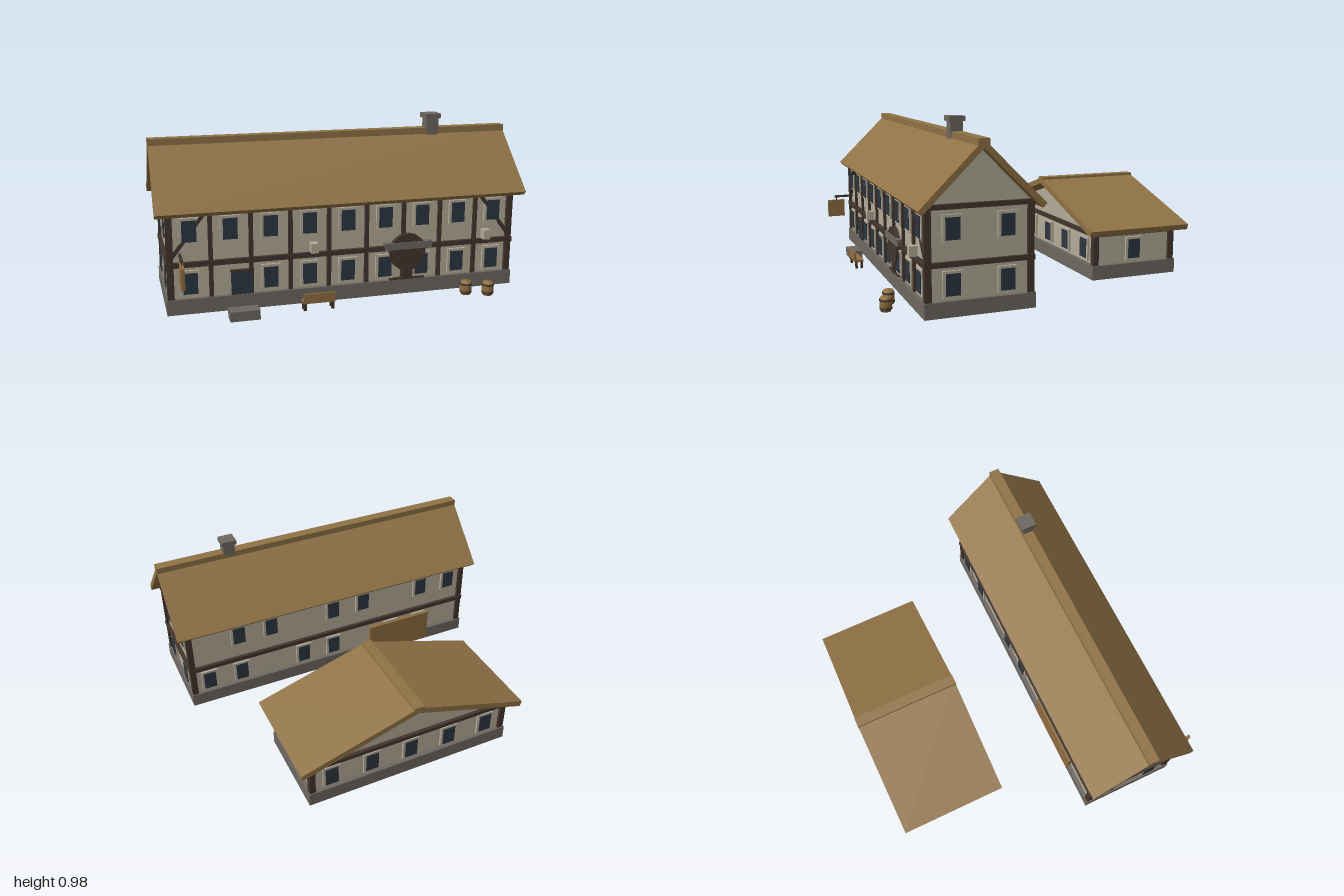
import * as THREE from 'three';

const mat = (name, color) => {
  const m = new THREE.MeshStandardMaterial({ color });
  m.name = name;
  return m;
};

export function createModel() {
  const plaster = mat('plaster', 0xb5ac99);
  const stone = mat('stone', 0x6d6760);
  const timber = mat('dark timber', 0x43352d);
  const roofing = mat('roof boards', 0x907245);
  const glass = mat('window glass', 0x2c3640);
  const wood = mat('light wood', 0x8f6d40);
  const floorMat = mat('floor', 0x4a443e);
  const root = new THREE.Group();

  const add = (parent, name, geo, m) => {
    const mesh = new THREE.Mesh(geo, m);
    mesh.name = name;
    parent.add(mesh);
    return mesh;
  };
  // Box given by its limits
  const box = (parent, name, m, x0, x1, y0, y1, z0, z1) => {
    const b = add(parent, name, new THREE.BoxGeometry(x1 - x0, y1 - y0, z1 - z0), m);
    b.position.set((x0 + x1) / 2, (y0 + y1) / 2, (z0 + z1) / 2);
    return b;
  };
  // Cross-section extruded along z, centred
  const prism = (parent, name, m, pts, length) => {
    const shape = new THREE.Shape(pts.map(p => new THREE.Vector2(...p)));
    const g = new THREE.ExtrudeGeometry(shape, { depth: length, bevelEnabled: false });
    g.translate(0, 0, -length / 2);
    return add(parent, name, g, m);
  };
  // Rectangular ring of four walls
  const ring = (parent, name, m, hx, hz, t, y0, y1) => {
    for (const s of [-1, 1]) {
      box(parent, name, m, -hx, hx, y0, y1, s * (hz - t / 2) - t / 2, s * (hz - t / 2) + t / 2);
      box(parent, name, m, s * (hx - t / 2) - t / 2, s * (hx - t / 2) + t / 2, y0, y1, -hz + t, hz - t);
    }
  };
  // Window facing +z before it is turned by ry
  const windowAt = (parent, x, y, z, ry = 0) => {
    const g = new THREE.Group();
    g.name = 'window';
    box(g, 'windowFrame', plaster, -0.051, 0.051, -0.068, 0.068, -0.01, 0.013);
    box(g, 'windowPane', glass, -0.037, 0.037, -0.055, 0.055, 0.012, 0.017);
    g.position.set(x, y, z);
    g.rotation.y = ry;
    parent.add(g);
  };

  // House shell: ridge along z, half span hx, half length hz
  const shell = (o) => {
    const g = new THREE.Group();
    g.name = o.name;
    const { hx, hz, wallTop, apex } = o;
    prism(g, 'walls', plaster,
      [[-hx, 0.1], [hx, 0.1], [hx, wallTop], [0, apex], [-hx, wallTop]], 2 * hz);
    ring(g, 'plinth', stone, hx + 0.022, hz + 0.022, 0.03, 0.035, 0.115);
    ring(g, 'innerSkirt', plaster, hx - 0.004, hz - 0.004, 0.012, 0.036, 0.102);
    box(g, 'floor', floorMat, -hx + 0.016, hx - 0.016, 0.092, 0.099, -hz + 0.016, hz - 0.016);
    for (const sx of [-1, 1]) for (const sz of [-1, 1]) {
      const x = sx * (hx - 0.001), z = sz * (hz - 0.001);
      box(g, 'cornerPost', timber, x - 0.017, x + 0.017, 0.11, wallTop, z - 0.017, z + 0.017);
    }
    for (const [y0, y1] of o.beams) ring(g, 'beam', timber, hx + 0.02, hz + 0.02, 0.03, y0, y1);
    // Roof chevron with square-cut eaves
    const { ex, ey, ry, hl, t } = o.roof;
    const len = Math.hypot(ex, ry - ey), nx = (ry - ey) / len * t, ny = ex / len * t;
    prism(g, 'roof', roofing, [[-ex, ey], [-ex + nx, ey - ny], [0, ry - t * len / ex],
      [ex - nx, ey - ny], [ex, ey], [0, ry]], 2 * hl);
    box(g, 'ridgeCap', roofing, -0.03, 0.03, ry - 0.03, ry + 0.005, -hl - 0.002, hl + 0.002);
    root.add(g);
    return g;
  };

  // Main house
  const main = shell({
    name: 'mainHouse', hx: 0.266, hz: 0.93, wallTop: 0.585, apex: 0.85,
    beams: [[0.282, 0.308], [0.562, 0.587]],
    roof: { ex: 0.326, ey: 0.57, ry: 0.892, hl: 0.998, t: 0.03 },
  });
  main.rotation.y = Math.PI / 2;
  main.position.z = 0.455;
  const front = 0.721, back = 0.189;

  // Rear annex
  const annex = shell({
    name: 'annex', hx: 0.595, hz: 0.245, wallTop: 0.305, apex: 0.485,
    beams: [[0.28, 0.303]],
    roof: { ex: 0.677, ey: 0.327, ry: 0.538, hl: 0.313, t: 0.033 },
  });
  annex.position.z = -0.597;
  for (let i = -2; i <= 2; i++) {
    windowAt(annex, i * 0.24, 0.196, -0.245, Math.PI);
    windowAt(annex, i * 0.24, 0.196, 0.245);
  }
  for (const s of [-1, 1]) windowAt(annex, s * 0.595, 0.196, 0, s * Math.PI / 2);

  // Main house windows
  for (let i = 0; i < 9; i++) {
    const x = (i - 4) * 0.2075;
    windowAt(root, x, 0.468, front);
    if (i !== 1) windowAt(root, x, 0.194, front);
    if (i % 3 !== 2) windowAt(root, x, 0.468, back, Math.PI);
    if (i % 3 !== 0) windowAt(root, x, 0.194, back, Math.PI);
  }
  for (const s of [-1, 1]) for (const z of [0.312, 0.595]) for (const y of [0.194, 0.468])
    windowAt(root, s * 0.93, y, z, s * Math.PI / 2);

  // Front framing
  for (let i = 1; i < 9; i++) {
    const x = -0.931 + i * 0.2069;
    box(root, 'frontPost', timber, x - 0.011, x + 0.011, 0.11, 0.565, front - 0.01, front + 0.014);
  }
  for (const s of [-1, 1]) {
    const b = add(root, 'cornerBrace', new THREE.BoxGeometry(0.018, 0.29, 0.024), timber);
    b.position.set(s * 0.84, 0.44, front + 0.004);
    b.rotation.z = s * 0.65;
  }

  // Front door, step and round gate
  box(root, 'frontDoor', glass, -0.622, -0.51, 0.115, 0.242, front, front + 0.017);
  box(root, 'doorBase', timber, -0.622, -0.51, 0.04, 0.117, 0.69, front + 0.018);
  box(root, 'doorHead', timber, -0.627, -0.505, 0.237, 0.247, front, front + 0.02);
  box(root, 'doorStep', stone, -0.645, -0.49, 0, 0.052, 0.745, 0.82);
  const disc = add(root, 'roundGate', new THREE.CylinderGeometry(0.104, 0.104, 0.04, 14), timber);
  disc.rotation.x = Math.PI / 2;
  disc.position.set(0.334, 0.268, front + 0.004);
  box(root, 'gatePost', timber, 0.303, 0.363, 0.11, 0.18, front, front + 0.022);
  box(root, 'gateSill', timber, 0.236, 0.434, 0.04, 0.124, 0.69, front + 0.02);
  box(root, 'gateLintel', stone, 0.203, 0.468, 0.287, 0.325, front, front + 0.03);

  // Chimney
  box(root, 'chimneyShaft', stone, 0.527, 0.597, 0.8, 0.95, 0.425, 0.49);
  box(root, 'chimneyCap', stone, 0.517, 0.605, 0.948, 0.975, 0.412, 0.5);

  // Back gate
  box(root, 'backGate', wood, -0.69, -0.26, 0.04, 0.25, 0.165, 0.188);
  box(root, 'backGateRail', wood, -0.695, -0.255, 0.238, 0.252, 0.162, 0.19);

  // Hanging sign
  box(root, 'signBracket', timber, -0.887, -0.873, 0.344, 0.357, 0.73, 0.845);
  box(root, 'signHanger', timber, -0.883, -0.877, 0.32, 0.348, 0.83, 0.836);
  box(root, 'signBoard', wood, -0.889, -0.871, 0.217, 0.327, 0.782, 0.89);

  // Wall lanterns
  for (const x of [-0.19, 0.783])
    box(root, 'wallLantern', plaster, x - 0.019, x + 0.019, 0.312, 0.365, 0.73, 0.773);

  // Bench
  box(root, 'benchSeat', wood, -0.275, -0.108, 0.078, 0.09, 0.815, 0.865);
  box(root, 'benchBack', wood, -0.275, -0.108, 0.078, 0.13, 0.857, 0.867);
  for (const x of [-0.265, -0.118]) for (const z of [0.823, 0.855])
    box(root, 'benchLeg', timber, x - 0.008, x + 0.008, 0.038, 0.08, z - 0.006, z + 0.006);

  // Barrels
  const profile = [[0, 0], [0.026, 0], [0.031, 0.02], [0.032, 0.037], [0.031, 0.054], [0.026, 0.074], [0, 0.074]]
    .map(p => new THREE.Vector2(...p));
  for (const [x, z] of [[0.635, 0.84], [0.745, 0.88]]) {
    const g = new THREE.Group();
    g.name = 'barrel';
    add(g, 'barrelBody', new THREE.LatheGeometry(profile, 12), wood);
    for (const y of [0.016, 0.058])
      add(g, 'barrelHoop', new THREE.CylinderGeometry(0.0325, 0.0325, 0.009, 12), timber).position.y = y;
    g.position.set(x, 0.038, z);
    root.add(g);
  }
  return root;
}
